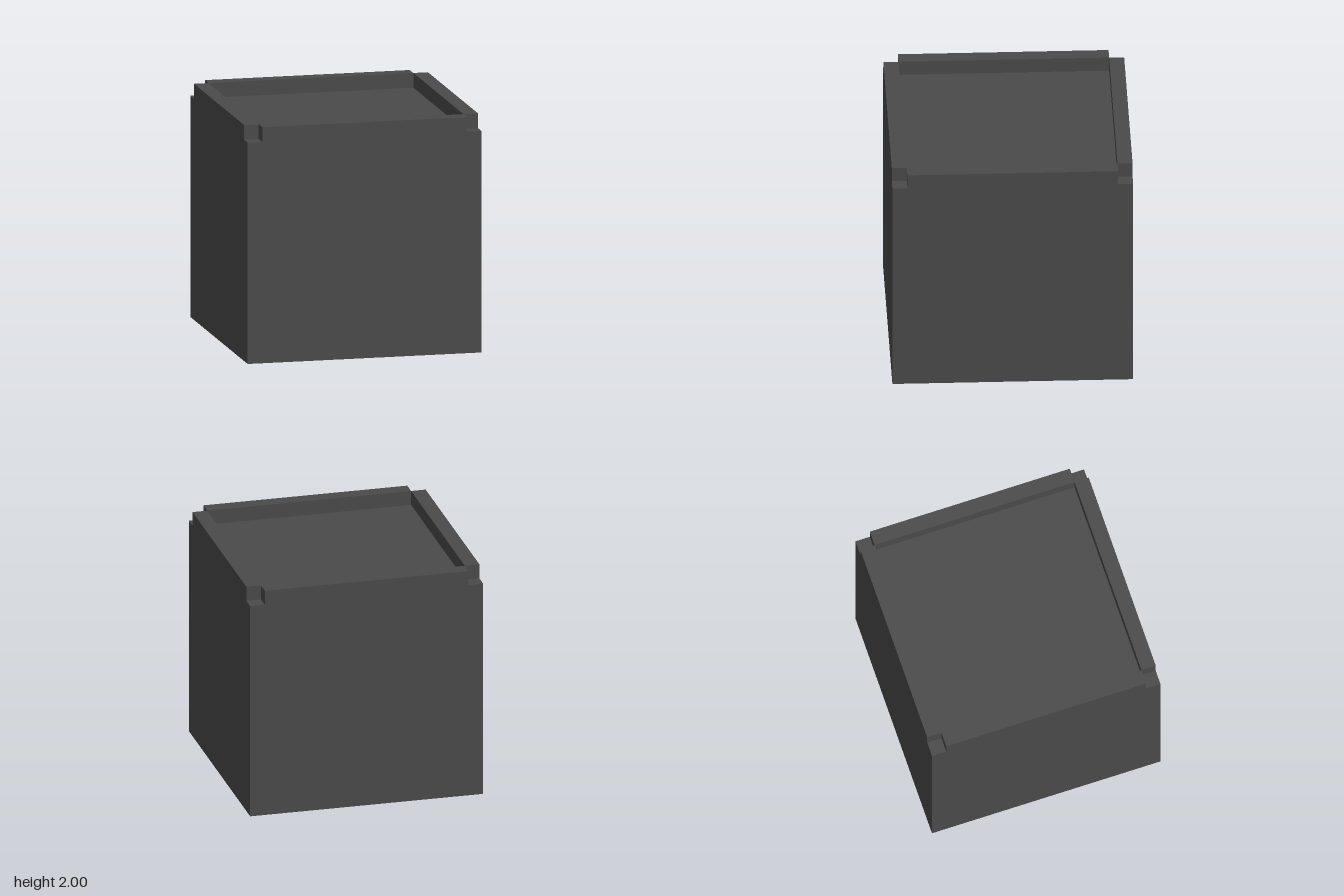
import * as THREE from 'three';

const SIZE = 2;
const RIM = 0.125; // rim height and thickness, also the corner notch size

export function createModel() {
  const model = new THREE.Group();
  model.name = 'notchedBlock';

  const darkGrey = new THREE.MeshStandardMaterial({ color: 0x4a4a4a });
  darkGrey.name = 'darkGrey';

  // Solid body below the rim
  const bodyHeight = SIZE - RIM;
  const body = new THREE.Mesh(new THREE.BoxGeometry(SIZE, bodyHeight, SIZE), darkGrey);
  body.name = 'body';
  body.position.y = bodyHeight / 2;
  model.add(body);

  // Four raised rim bars, stopping short of the corners to leave notches
  const barGeometry = new THREE.BoxGeometry(SIZE - 2 * RIM, RIM, RIM);
  barGeometry.translate(0, SIZE - RIM / 2, SIZE / 2 - RIM / 2);
  ['frontRim', 'leftRim', 'backRim', 'rightRim'].forEach((name, i) => {
    const bar = new THREE.Mesh(barGeometry, darkGrey);
    bar.name = name;
    bar.rotation.y = (i * Math.PI) / 2;
    model.add(bar);
  });

  return model;
}
